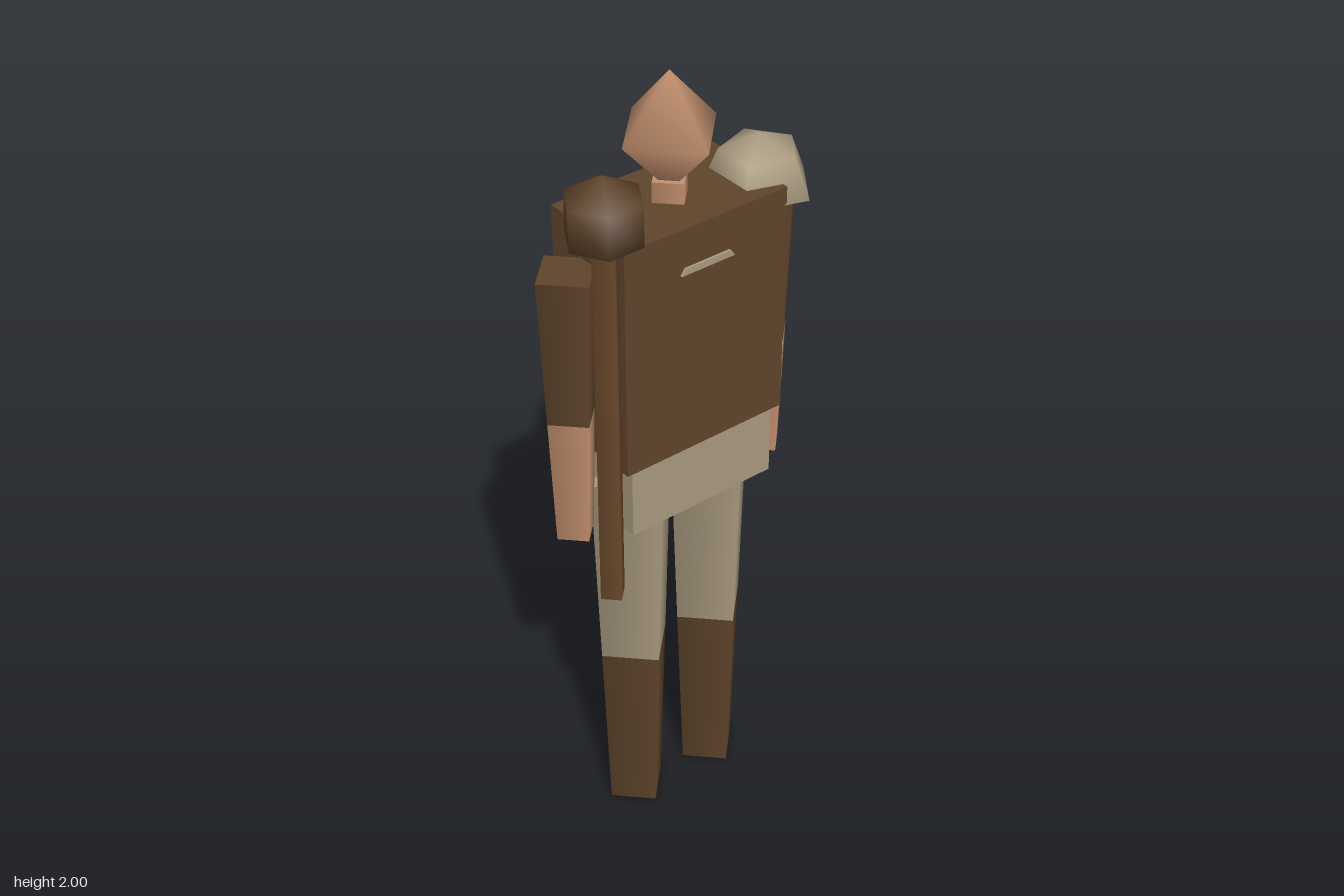
import * as THREE from 'three';

const material = (name, color, side = THREE.FrontSide) => {
  const m = new THREE.MeshStandardMaterial({ color, side });
  m.name = name;
  return m;
};

export function createModel() {
  const skin = material('skin', 0xc4916f);
  const leather = material('leather', 0x60452c);
  const wood = material('wood', 0x6c4a2c);
  const cloth = material('cloth', 0xab9c81, THREE.DoubleSide);

  const group = new THREE.Group();
  group.name = 'figure';
  const CX = 0.003, CZ = -0.043; // axis of the body

  const add = (name, geometry, mat, x, y, z) => {
    const mesh = new THREE.Mesh(geometry, mat);
    mesh.name = name;
    mesh.position.set(x, y, z);
    group.add(mesh);
    return mesh;
  };
  // Four-sided smooth post between two heights
  const post = (name, mat, x, z, y0, y1, r0, r1) =>
    add(name, new THREE.CylinderGeometry(r1, r0, y1 - y0, 4), mat, x, (y0 + y1) / 2, z);

  // Trunk
  add('torso', new THREE.BoxGeometry(0.445, 0.58, 0.257), leather, CX, 1.41, CZ);
  add('hips', new THREE.BoxGeometry(0.404, 0.185, 0.232), cloth, CX, 1.0285, CZ + 0.002);

  // Neck and diamond-shaped head
  post('neck', skin, CX, CZ, 1.69, 1.75, 0.05, 0.05);
  add('head', new THREE.SphereGeometry(1, 4, 2), skin, CX, 1.857, CZ).scale.set(0.127, 0.143, 0.132);

  // Arms and legs, mirrored
  for (const [side, s] of [['left', 1], ['right', -1]]) {
    post(side + 'Sleeve', leather, CX + s * 0.279, CZ, 1.245, 1.617, 0.066, 0.082);
    post(side + 'Forearm', skin, CX + s * 0.279, CZ, 0.915, 1.245, 0.052, 0.066);
    post(side + 'Trouser', cloth, CX + s * 0.1165, CZ, 0.49, 1.02, 0.098, 0.117);
    post(side + 'Boot', leather, CX + s * 0.1165, CZ, 0, 0.49, 0.08, 0.098);
  }

  // Open half-dome over the left shoulder
  const pad = add('shoulderPad',
    new THREE.SphereGeometry(0.13, 5, 2, 0, Math.PI * 2, 0, Math.PI / 2), cloth, 0.235, 1.655, -0.02);
  pad.rotation.y = Math.PI;

  // Small chest plate
  const trim = new THREE.Shape([[-0.073, 0], [0.073, 0], [0.062, 0.016], [-0.062, 0.016]]
    .map(([x, y]) => new THREE.Vector2(x, y)));
  add('chestPlate', new THREE.ExtrudeGeometry(trim, { depth: 0.007, bevelEnabled: false }),
    cloth, CX, 1.588, 0.0845);

  // Club held in front of the right arm
  post('clubShaft', wood, -0.277, 0.097, 0.82, 1.78, 0.034, 0.034);
  add('clubHead', new THREE.SphereGeometry(0.102, 6, 3), leather, -0.277, 1.813, 0.097)
    .scale.y = 0.97;

  return group;
}
